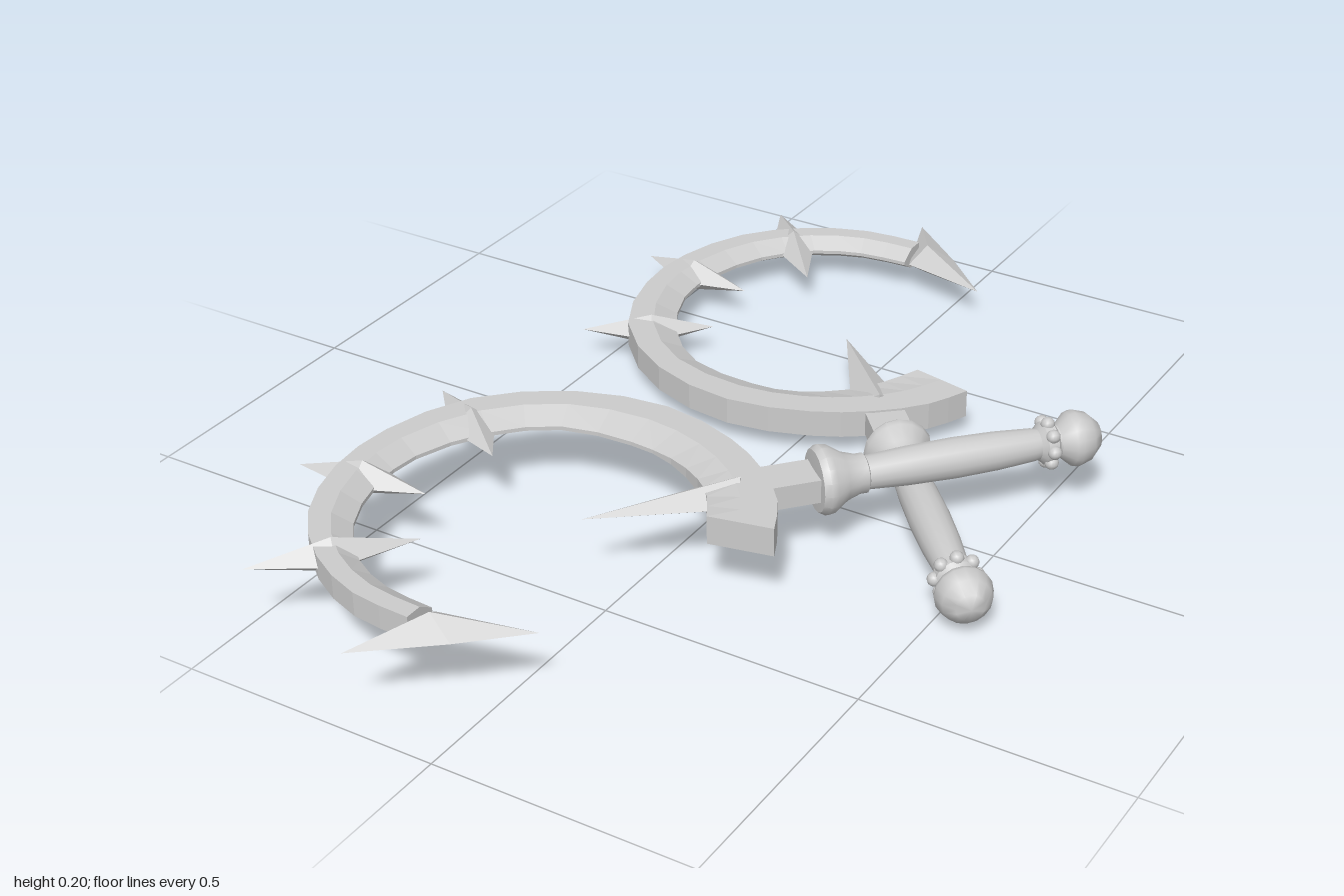
import * as THREE from 'three';
import { toCreasedNormals } from 'three/addons/utils/BufferGeometryUtils.js';
import { ConvexGeometry } from 'three/addons/geometries/ConvexGeometry.js';

const V = (x, y, z) => new THREE.Vector3(x, y, z);
const flat = new THREE.MeshStandardMaterial({ color: 0xcccccc, flatShading: true });
const smooth = new THREE.MeshStandardMaterial({ color: 0xcccccc });

function part(name, geometry, material, parent) {
  const mesh = new THREE.Mesh(geometry, material);
  mesh.name = name;
  parent.add(mesh);
  return mesh;
}

// Edges of the hooked blade in plan (x, z), from the grip end to the tip
const OUTER = [[.25, .35], [.21, .27], [.13, .19], [.03, .13], [-.13, .09], [-.31, .13], [-.46, .25],
  [-.525, .42], [-.525, .565], [-.47, .71], [-.37, .81], [-.25, .865], [-.13, .875]];
const INNER = [[.13, .375], [.09, .31], [.04, .26], [-.045, .215], [-.14, .2], [-.28, .22], [-.38, .305],
  [-.445, .44], [-.445, .555], [-.4, .675], [-.32, .76], [-.23, .8], [-.13, .81]];

// Six-cornered section: flat back, flat sides, bevel down to the inner edge
function bladeGeometry() {
  const curve = (pts) => new THREE.CatmullRomCurve3(pts.map(([x, z]) => V(x, 0, z)));
  const outer = curve(OUTER), inner = curve(INNER);
  const steps = 24, pos = [], idx = [];
  for (let k = 0; k <= steps; k++) {
    const t = k / steps;
    const o = outer.getPoint(t), n = inner.getPoint(t), ridge = o.clone().lerp(n, .52);
    const h = THREE.MathUtils.lerp(.028, .023, t);
    const hn = h * THREE.MathUtils.lerp(1, .15, Math.min(1, t / .28));
    for (const [p, y] of [[o, h], [ridge, h], [n, hn], [n, -hn], [ridge, -h], [o, -h]]) pos.push(p.x, y, p.z);
    if (k === steps) break;
    for (let i = 0; i < 6; i++) {
      const a = k * 6 + i, b = k * 6 + (i + 1) % 6;
      idx.push(a, a + 6, b, b, a + 6, b + 6);
    }
  }
  for (let j = 1; j < 5; j++) {
    const e = steps * 6;
    idx.push(0, j, j + 1, e, e + j + 1, e + j);
  }
  const g = new THREE.BufferGeometry();
  g.setAttribute('position', new THREE.Float32BufferAttribute(pos, 3));
  g.setIndex(idx);
  g.computeVertexNormals();
  return g;
}

// Double-ended thorn: a four-sided spike on each side of the blade
function thornGeometry([ox, oz], [cx, cz], [ix, iz]) {
  const c = V(cx, 0, cz), side = V(iz - oz, 0, ox - ix).normalize().multiplyScalar(.045);
  return [[ox, oz], [ix, iz]].map(([x, z]) => new ConvexGeometry([
    V(x, 0, z), c.clone().add(side), c.clone().sub(side), V(cx, .034, cz), V(cx, -.034, cz)]));
}

function lathe(name, points, parent) {
  const g = new THREE.LatheGeometry(points.map(([r, s]) => new THREE.Vector2(r, s)), 16);
  part(name, toCreasedNormals(g, .7), smooth, parent);
}

function createSickle() {
  const sickle = new THREE.Group();
  part('hookBlade', bladeGeometry(), flat, sickle);

  // Barbed point at the end of the hook
  part('barbedTip', new ConvexGeometry([V(.06, 0, .775), V(-.18, 0, .985), V(-.12, 0, .812),
    V(-.1, .032, .855), V(-.1, -.032, .855), V(-.045, 0, .875)]), flat, sickle);

  // Thorns along the hook
  const thorns = [
    [[-.55, .22], [-.43, .29], [-.33, .365]],
    [[-.61, .565], [-.485, .54], [-.355, .53]],
    [[-.475, .88], [-.375, .765], [-.275, .65]],
  ];
  for (const t of thorns) for (const g of thornGeometry(...t)) part('thorn', g, flat, sickle);

  // Grip frame: local y runs from the pommel to the spike, local z is up
  const grip = new THREE.Group();
  grip.name = 'grip';
  const d = V(-.665, 0, .747).normalize(), up = V(0, 1, 0);
  grip.quaternion.setFromRotationMatrix(
    new THREE.Matrix4().makeBasis(new THREE.Vector3().crossVectors(d, up), d, up));
  grip.position.set(.57, 0, -.265);
  sickle.add(grip);

  lathe('pommel', [[0, -.008], [.026, 0], [.045, .02], [.053, .045], [.05, .056], [.03, .078], [.03, .09]], grip);
  lathe('collar', [[.028, .08], [.039, .088], [.04, .108], [.028, .118]], grip);
  lathe('handle', [[.027, .105], [.031, .13], [.036, .2], [.038, .28], [.036, .37], [.03, .47]], grip);
  lathe('guard', [[.028, .445], [.037, .45], [.037, .465], [.045, .49], [.063, .517], [.065, .53], [.058, .542], [0, .545]], grip);

  // Ring of beads on the collar
  for (let i = 0; i < 8; i++) {
    const a = i * Math.PI / 4;
    part('bead', new THREE.SphereGeometry(.013, 10, 8), smooth, grip)
      .position.set(Math.cos(a) * .039, .098, Math.sin(a) * .039);
  }

  // Block between guard and blade, then the straight spike
  part('shaft', new THREE.BoxGeometry(.076, .17, .046), flat, grip).position.y = .615;
  part('spike', new ConvexGeometry([V(0, .968, 0), V(.05, .7, 0), V(-.05, .7, 0),
    V(0, .68, .034), V(0, .68, -.034)]), flat, grip);
  return sickle;
}

export function createModel() {
  const model = new THREE.Group();
  model.name = 'crossedHookSickles';
  const upper = createSickle();
  upper.name = 'upperSickle';
  upper.position.set(0, .145, 0);
  const lower = createSickle();
  lower.name = 'lowerSickle';
  lower.rotation.x = Math.PI;
  lower.position.set(.01, .07, -.01);
  model.add(upper, lower);
  return model;
}
